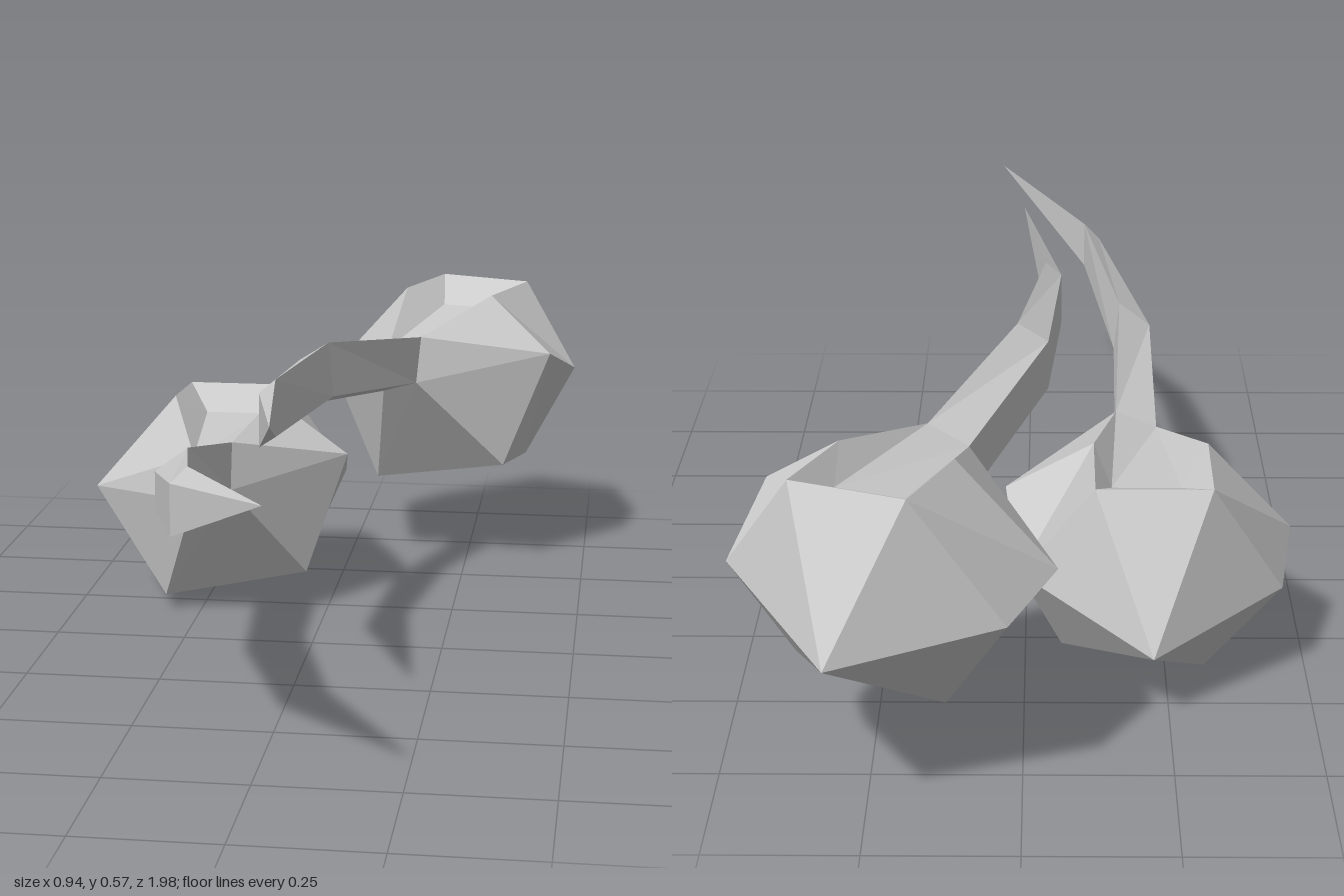
import * as THREE from 'three';

const material = new THREE.MeshStandardMaterial({ color: 0xcccccc, flatShading: true, side: THREE.DoubleSide });

function facetedMesh(name, points, index) {
  const indexed = new THREE.BufferGeometry();
  indexed.setAttribute('position', new THREE.Float32BufferAttribute(points.flat(), 3));
  indexed.setIndex(index);
  const geometry = indexed.toNonIndexed();
  geometry.computeVertexNormals();
  const mesh = new THREE.Mesh(geometry, material);
  mesh.name = name;
  return mesh;
}

// Bulb corners; the neck ring is the four corners where the stem joins
const bulbPoints = [
  [-0.475, 0.23, -0.26], [0.035, 0.31, -0.27],                          // 0-1 widest sides
  [-0.32, 0.03, -0.18], [-0.04, 0.08, -0.21],                           // 2-3 base, front
  [-0.32, 0, -0.355], [-0.065, 0.055, -0.38],                           // 4-5 base, back
  [-0.22, 0.13, -0.59], [-0.45, 0.18, -0.41], [0.01, 0.23, -0.46],      // 6-8 back
  [-0.24, 0.26, -0.05], [-0.165, 0.285, -0.05],                         // 9-10 neck, lower
  [-0.165, 0.375, -0.07], [-0.24, 0.345, -0.07],                        // 11-12 neck, upper
  [-0.32, 0.41, -0.31], [-0.12, 0.41, -0.31],                           // 13-14 rim, front
  [-0.32, 0.4, -0.49], [-0.12, 0.4, -0.49],                             // 15-16 rim, back
  [-0.27, 0.36, -0.39], [-0.15, 0.36, -0.39],                           // 17-18 hollow floor
];
const bulbFaces = [
  2, 3, 10, 2, 10, 9, 0, 2, 9, 0, 9, 12, 0, 12, 13, 3, 1, 10, 1, 11, 10, 1, 14, 11, // front
  2, 4, 5, 2, 5, 3,                                                                 // base
  0, 7, 2, 7, 4, 2, 7, 6, 4, 6, 5, 4, 6, 8, 5, 1, 3, 5, 1, 5, 8,                    // lower sides
  0, 13, 15, 0, 15, 7, 7, 15, 6, 6, 15, 16, 6, 16, 8, 8, 16, 14, 8, 14, 1,          // upper sides
  12, 11, 18, 12, 18, 17, 13, 12, 17, 13, 17, 15,                                   // hollow
  11, 14, 18, 14, 16, 18, 15, 17, 18, 15, 18, 16,
];

// Turns and lifts a bulb corner to the second position
function toSecond([x, y, z]) {
  const dx = x + 0.2, dz = z + 0.06;
  return [0.125 + 0.93 * dx - 0.37 * dz, y + 0.135 - 0.075 * (z + 0.05), -0.475 + 0.37 * dx + 0.93 * dz];
}

// Tapering four-sided stem through rings of corners, ending in a point
function stem(rings, tip) {
  const points = [...rings.flat(), tip];
  const index = [];
  const last = rings.length - 1;
  for (let r = 0; r <= last; r++) {
    for (let i = 0; i < 4; i++) {
      const a = r * 4 + i, b = r * 4 + (i + 1) % 4;
      if (r < last) index.push(a, b, b + 4, a, b + 4, a + 4);
      else index.push(a, b, points.length - 1);
    }
  }
  return facetedMesh('stem', points, index);
}

// Ring corners in order: lower left, lower right, upper right, upper left
const ring = (z, ...corners) => corners.map(([x, y]) => [x, y, z]);

function pod(name, points, rings, tip) {
  const group = new THREE.Group();
  group.name = name;
  group.add(facetedMesh('bulb', points, bulbFaces));
  group.add(stem([points.slice(9, 13), ...rings], tip));
  return group;
}

export function createModel() {
  const model = new THREE.Group();
  model.name = 'stemmedBulbs';
  model.add(pod('lowerBulb', bulbPoints, [
    ring(0.31, [-0.24, 0.335], [-0.17, 0.36], [-0.18, 0.455], [-0.24, 0.41]),
    ring(0.66, [-0.145, 0.39], [-0.115, 0.42], [-0.115, 0.51], [-0.145, 0.48]),
  ], [0.06, 0.54, 1]));
  model.add(pod('upperBulb', bulbPoints.map(toSecond), [
    ring(-0.12, [-0.04, 0.44], [0.025, 0.46], [0.015, 0.565], [-0.04, 0.53]),
    ring(0.23, [-0.065, 0.44], [-0.035, 0.46], [-0.035, 0.565], [-0.065, 0.54]),
  ], [0.01, 0.565, 0.6]));
  return model;
}
